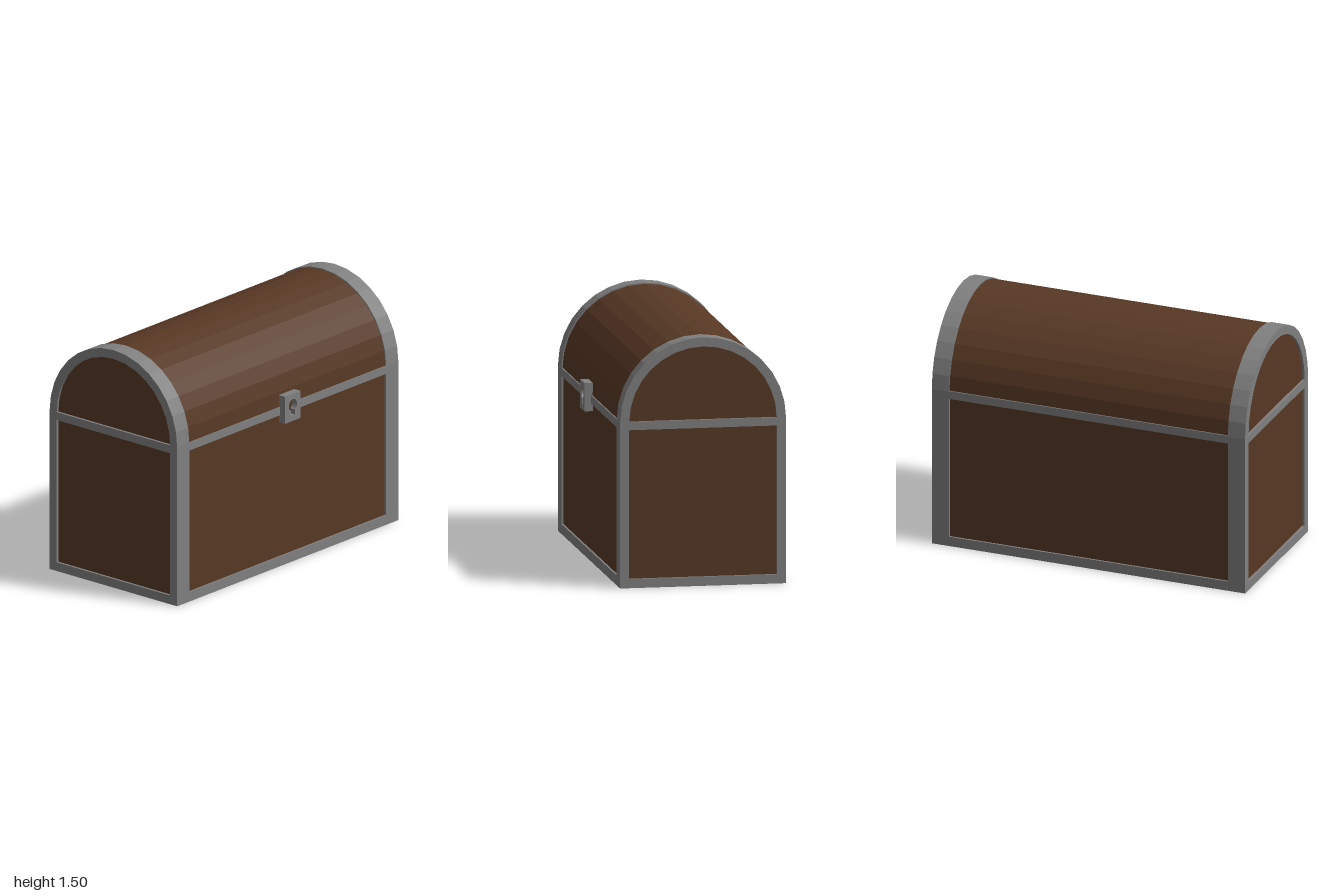
import * as THREE from 'three';

export function createModel() {
  const wood = new THREE.MeshStandardMaterial({ color: 0x573824 });
  wood.name = 'brown wood';
  const iron = new THREE.MeshStandardMaterial({ color: 0x808080 });
  iron.name = 'grey iron';

  const model = new THREE.Group();
  model.name = 'treasureChest';
  const chest = new THREE.Group();
  chest.name = 'chest';
  chest.position.z = -0.02;
  model.add(chest);

  const add = (name, geometry, material, x = 0, y = 0, z = 0) => {
    const mesh = new THREE.Mesh(geometry, material);
    mesh.name = name;
    mesh.position.set(x, y, z);
    chest.add(mesh);
  };
  // box given by its minimum and maximum corners
  const box = (name, material, x0, x1, y0, y1, z0, z1) =>
    add(name, new THREE.BoxGeometry(x1 - x0, y1 - y0, z1 - z0), material,
      (x0 + x1) / 2, (y0 + y1) / 2, (z0 + z1) / 2);

  // half circle in 16 flat steps, extruded along x
  const SPRING = 0.995;
  const arc = (r) => Array.from({ length: 17 }, (_, i) => {
    const a = (i / 16) * Math.PI;
    return new THREE.Vector2(Math.cos(a) * r, Math.sin(a) * r);
  });
  const extrudeX = (points, depth) => new THREE.ExtrudeGeometry(
    new THREE.Shape(points), { depth, bevelEnabled: false })
    .rotateY(Math.PI / 2).translate(-depth / 2, 0, 0);

  // wooden body and barrel lid, set just inside the ironwork
  box('body', wood, -0.985, 0.985, 0.01, 0.99, -0.488, 0.488);
  add('lid', extrudeX(arc(0.493), 1.97), wood, 0, SPRING, 0);

  for (const s of [-1, 1]) {
    // arched bands at the ends of the lid
    add('lidBand', extrudeX([...arc(0.5), ...arc(0.445).reverse()], 0.11), iron, s * 0.945, SPRING, 0);
    // end rails
    const [a, b] = s < 0 ? [-1, -0.89] : [0.89, 1];
    box('endBottomRail', iron, a, b, 0, 0.055, -0.45, 0.45);
    box('endTopRail', iron, a, b, 0.95, 1, -0.45, 0.45);
    // corner posts, and long rails between them
    const [c, d] = s < 0 ? [-0.5, -0.445] : [0.445, 0.5];
    for (const t of [-1, 1]) {
      const [e, f] = t < 0 ? [-1, -0.89] : [0.89, 1];
      box('cornerPost', iron, e, f, 0, SPRING, c, d);
    }
    box('longBottomRail', iron, -0.89, 0.89, 0, 0.06, c, d);
    box('longTopRail', iron, -0.89, 0.89, 0.95, 1, c, d);
  }

  // lock plate with a keyhole cut through it
  const plate = new THREE.Shape([[-0.07, 0.905], [0.07, 0.905], [0.07, 1.075], [-0.07, 1.075]]
    .map(([x, y]) => new THREE.Vector2(x, y)));
  const keyhole = new THREE.Path();
  keyhole.moveTo(-0.018, 0.94);
  keyhole.lineTo(-0.018, 0.973);
  keyhole.absarc(0, 1.005, 0.037, Math.PI * 1.5 - 0.5, -Math.PI / 2 + 0.5, true);
  keyhole.lineTo(0.018, 0.94);
  keyhole.closePath();
  plate.holes.push(keyhole);
  add('lock', new THREE.ExtrudeGeometry(plate, { depth: 0.05, bevelEnabled: false, curveSegments: 16 }),
    iron, 0, 0, 0.49);
  box('keyholeBack', wood, -0.05, 0.05, 0.93, 1.05, 0.497, 0.504);

  return model;
}
